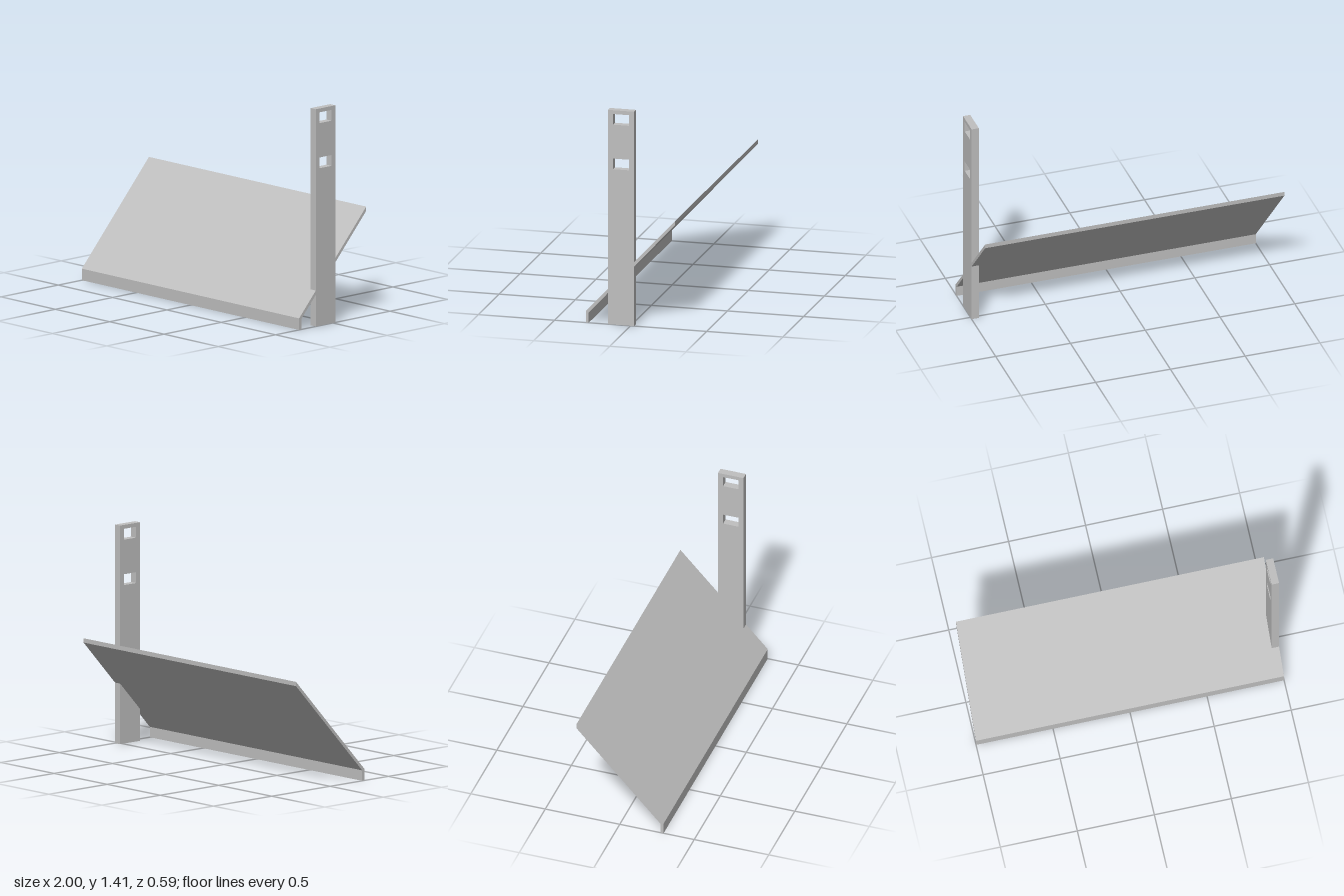
import * as THREE from 'three';

const grey = new THREE.MeshStandardMaterial({ color: 0xbfbfbf });
grey.name = 'grey';

// Extrudes a side outline of [z, y] points along x, from x0 to x1
function sideExtrude(name, points, x0, x1, holes = []) {
  const toVectors = (list) => list.map(([z, y]) => new THREE.Vector2(z, y));
  const shape = new THREE.Shape(toVectors(points));
  for (const hole of holes) shape.holes.push(new THREE.Path(toVectors(hole)));
  const geometry = new THREE.ExtrudeGeometry(shape, { depth: x1 - x0, bevelEnabled: false });
  geometry.rotateY(-Math.PI / 2);
  geometry.translate(x1, 0, 0);
  const mesh = new THREE.Mesh(geometry, grey);
  mesh.name = name;
  return mesh;
}

const rect = (z0, z1, y0, y1) => [[z0, y0], [z1, y0], [z1, y1], [z0, y1]];

// Heights of the sloping board's upper and lower faces
const slope = (0.71 - 0.075) / 0.585;
const upper = (z) => 0.075 + (0.294 - z) * slope;
const lower = (z) => upper(z) - 0.028;

export function createModel() {
  const group = new THREE.Group();
  group.name = 'slopedBoardWithPost';

  const front = 0.294, lipBack = 0.275, back = -0.292;
  const postFront = 0.148, postBack = -0.023, postInner = 0.952;

  // Board outline with the vertical front lip, cut off at a given z
  const lippedBoard = (rear) => [
    [front, 0], [front, upper(front)], [rear, upper(rear)],
    [rear, lower(rear)], [lipBack, lower(lipBack)], [lipBack, 0],
  ];

  // Sloping board, notched at its left end around the post
  group.add(sideExtrude('slopingBoard', lippedBoard(back), -1, postInner));
  group.add(sideExtrude('boardFrontTab', lippedBoard(postFront), postInner, 1));
  group.add(sideExtrude('boardRearTab', [
    [postBack, lower(postBack)], [postBack, upper(postBack)],
    [back, upper(back)], [back, lower(back)],
  ], postInner, 1));

  // Upright post with two rectangular slots
  group.add(sideExtrude('post', rect(postBack, postFront, 0, 1.41), postInner, 1, [
    rect(0.011, 0.115, 1.022, 1.092),
    rect(0.011, 0.115, 1.315, 1.385),
  ]));

  return group;
}
